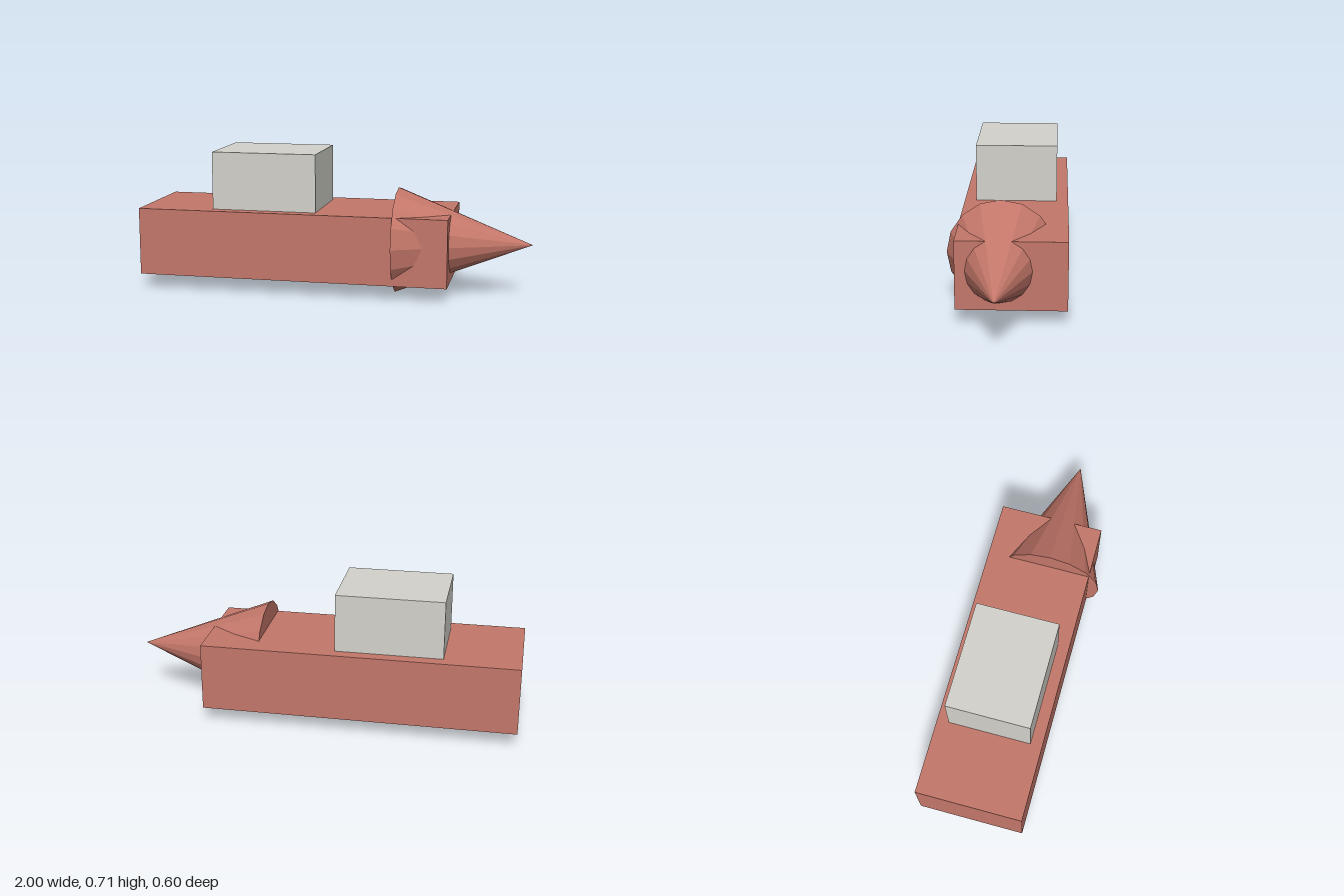
import * as THREE from 'three';

const red = new THREE.MeshStandardMaterial({ color: 0xc4776a });
red.name = 'brick red';
const grey = new THREE.MeshStandardMaterial({ color: 0xd3d2cb });
grey.name = 'pale grey';

// Box given by its minimum and maximum corners
function block(name, material, min, max) {
  const size = max.map((v, i) => v - min[i]);
  const mesh = new THREE.Mesh(new THREE.BoxGeometry(...size), material);
  mesh.position.set(...min.map((v, i) => (v + max[i]) / 2));
  mesh.name = name;
  return mesh;
}

export function createModel() {
  const model = new THREE.Group();
  model.name = 'boat';

  // Long hull with a cabin standing on its deck
  model.add(block('hull', red, [-1, 0.075, -0.3], [0.595, 0.42, 0.24]));
  model.add(block('cabin', grey, [-0.62, 0.42, -0.24], [-0.08, 0.715, 0.18]));

  // Faceted bow cone pointing along +x, sunk into the end of the hull
  const base = 0.32, tip = 1, radius = 0.27;
  const cone = new THREE.ConeGeometry(radius, tip - base, 16).toNonIndexed();
  cone.computeVertexNormals();
  const bow = new THREE.Mesh(cone, red);
  bow.name = 'bow';
  bow.rotation.z = -Math.PI / 2;
  bow.position.set((base + tip) / 2, 0.271, 0.03);
  model.add(bow);

  return model;
}
